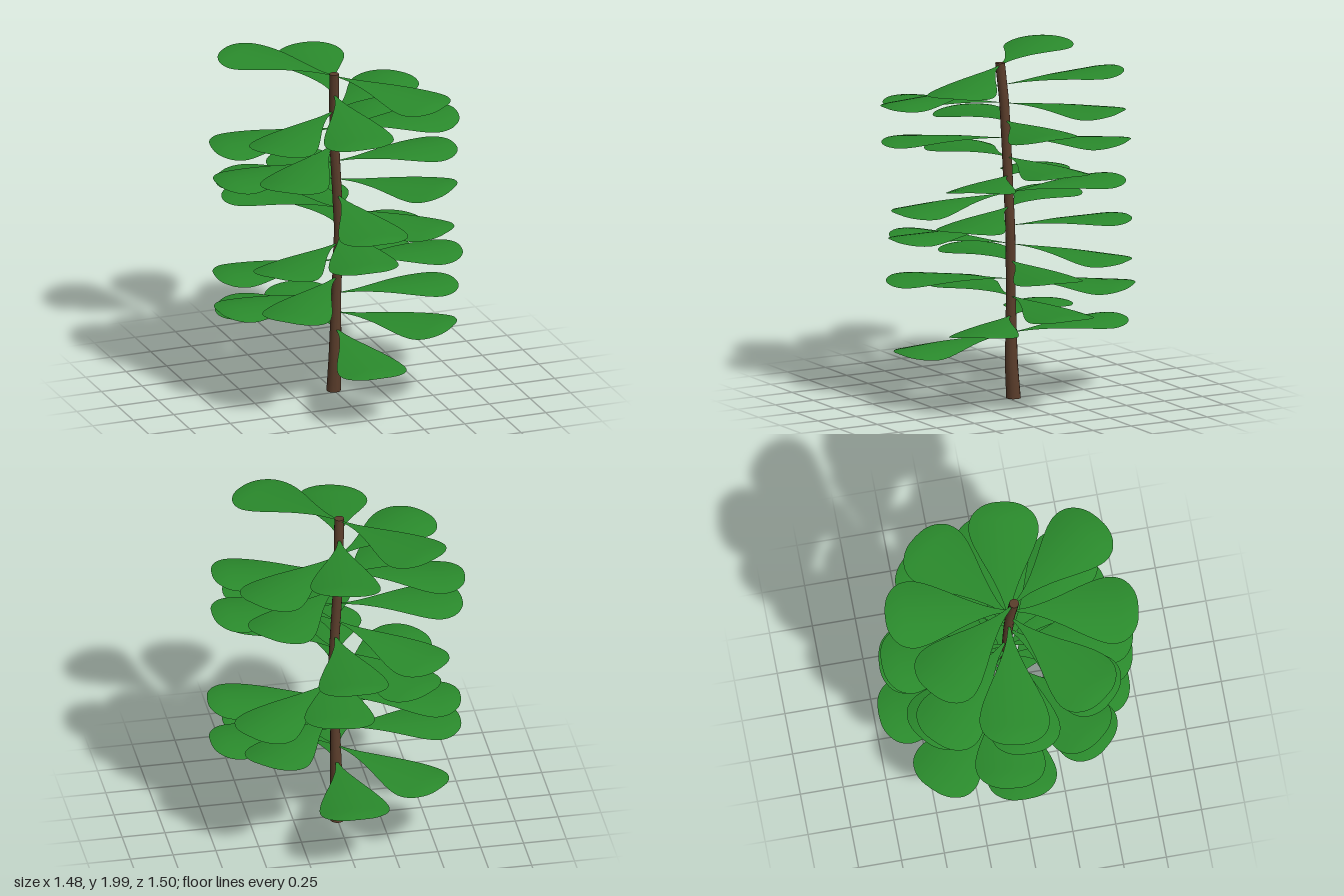
import * as THREE from 'three';

const green = new THREE.MeshStandardMaterial({ color: 0x2a8a2c, side: THREE.DoubleSide });
const brown = new THREE.MeshStandardMaterial({ color: 0x5a3d2b });
const V = (x, y, z) => new THREE.Vector3(x, y, z);

// Centre line of the gently bending stem
const stemPoints = [
  V(0, 0, -0.037), V(0.002, 0.2, -0.022), V(0.008, 0.6, -0.015), V(0.02, 1, -0.005),
  V(0.005, 1.25, 0), V(-0.01, 1.5, 0.004), V(-0.018, 1.75, 0.015), V(-0.026, 1.97, 0.037),
];
function stemAt(y) {
  let i = 0;
  while (i < stemPoints.length - 2 && y > stemPoints[i + 1].y) i++;
  const p = stemPoints[i], q = stemPoints[i + 1];
  return p.clone().lerp(q, (y - p.y) / (q.y - p.y));
}

function makeStem() {
  const height = 1.97;
  const geo = new THREE.CylinderGeometry(1, 1, height, 14, 40);
  geo.translate(0, height / 2, 0);
  const pos = geo.attributes.position;
  for (let i = 0; i < pos.count; i++) {
    const y = pos.getY(i), c = stemAt(y);
    const r = 0.028 + 0.014 * Math.max(0, 1 - y / 0.6);
    pos.setXYZ(i, c.x + pos.getX(i) * r, y, c.z + pos.getZ(i) * r);
  }
  geo.computeVertexNormals();
  const mesh = new THREE.Mesh(geo, brown);
  mesh.name = 'stem';
  return mesh;
}

// Leaf outline: distance from the stem, half width
const outline = new THREE.CatmullRomCurve3([
  V(0.01, 0.004, 0), V(0.12, 0.025, 0), V(0.26, 0.078, 0), V(0.4, 0.145, 0), V(0.5, 0.187, 0),
  V(0.58, 0.202, 0), V(0.65, 0.182, 0), V(0.7, 0.13, 0), V(0.724, 0.07, 0), V(0.73, 0, 0),
]);

// Arched leaf lying in the plane y = a*x + b*z, pointing along the angle
function makeLeaf(y0, angle, a, b) {
  const rows = 28, cols = 10;
  const c = stemAt(y0), cos = Math.cos(angle), sin = Math.sin(angle);
  const positions = [], index = [];
  for (let i = 0; i <= rows; i++) {
    const p = outline.getPoint(i / rows);
    for (let j = 0; j <= cols; j++) {
      const w = (j / cols * 2 - 1) * Math.max(p.y, 0);
      const x = p.x * cos - w * sin, z = p.x * sin + w * cos;
      const arch = 0.03 * (w / 0.2) ** 2 + 0.012 * Math.max(0, (p.x - 0.62) / 0.11) ** 2;
      positions.push(c.x + x, y0 + a * x + b * z - arch, c.z + z);
      if (i < rows && j < cols) {
        const k = i * (cols + 1) + j, n = k + cols + 1;
        index.push(k, k + 1, n, n, k + 1, n + 1);
      }
    }
  }
  const geo = new THREE.BufferGeometry();
  geo.setAttribute('position', new THREE.Float32BufferAttribute(positions, 3));
  geo.setIndex(index);
  geo.computeVertexNormals();
  const mesh = new THREE.Mesh(geo, green);
  mesh.name = 'leaf';
  return mesh;
}

// Opposite leaf pairs: height, angle from +x towards +z, slope along x, slope along z
const pairs = [
  [0.387, 90, 0, -0.058], [0.487, 45, 0.06, 0], [0.603, 0, 0, 0], [0.705, -45, 0, -0.036],
  [0.812, 7, 0.028, 0], [0.913, -38, -0.023, 0.04], [1.02, 97, 0.04, -0.02], [1.13, 52, 0, 0],
  [1.212, 90, 0, -0.055], [1.31, 45, 0.086, 0.028], [1.42, 0, 0.035, 0], [1.53, -45, 0.045, -0.026],
  [1.63, 7, 0.062, -0.05], [1.735, -38, 0.017, -0.017], [1.84, 97, 0.06, -0.08], [1.957, 52, -0.023, -0.057],
];

export function createModel() {
  const model = new THREE.Group();
  model.name = 'plant';
  model.add(makeStem());
  for (const [y, degrees, a, b] of pairs) {
    const pair = new THREE.Group();
    pair.name = 'leafPair';
    const angle = THREE.MathUtils.degToRad(degrees);
    pair.add(makeLeaf(y, angle, a, b), makeLeaf(y, angle + Math.PI, a, b));
    model.add(pair);
  }
  return model;
}
